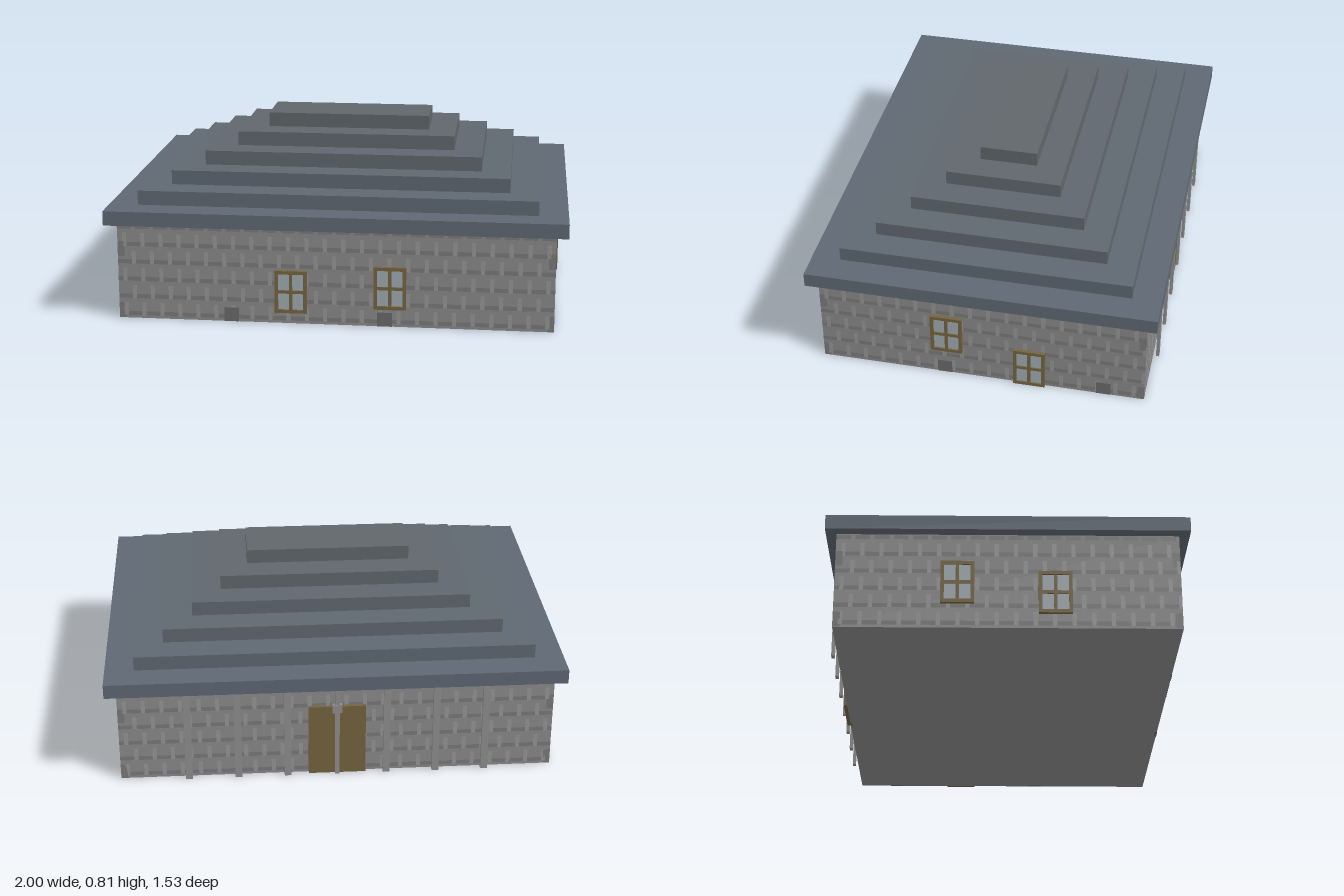
import * as THREE from 'three';
import { mergeGeometries } from 'three/addons/utils/BufferGeometryUtils.js';

const mat = (color) => new THREE.MeshStandardMaterial({ color });
const stone = mat(0x8b8b8b), mortarDark = mat(0x7b7b7b), mortarLight = mat(0x979797);
const block = mat(0x6b6b6b), wood = mat(0x75643f), glass = mat(0xa0acb2), post = mat(0x8f8f8f);

const HX = 0.95, HZ = 0.718, WALL = 0.43;

// Box given by its minimum and maximum corners
function boxGeo(x0, x1, y0, y1, z0, z1) {
  return new THREE.BoxGeometry(x1 - x0, y1 - y0, z1 - z0)
    .translate((x0 + x1) / 2, (y0 + y1) / 2, (z0 + z1) / 2);
}

function add(parent, name, geometry, material) {
  const mesh = new THREE.Mesh(geometry, material);
  mesh.name = name;
  parent.add(mesh);
  return mesh;
}

// Four-pane window standing on the wall plane z = d
function addWindow(side, u, y, d) {
  const w = 0.07, h = 0.19, t = 0.015, m = 0.007, front = d + 0.015;
  const g = new THREE.Group();
  g.name = 'window';
  add(g, 'windowFrame', mergeGeometries([
    boxGeo(u - w, u - w + t, y, y + h, d - 0.01, front),
    boxGeo(u + w - t, u + w, y, y + h, d - 0.01, front),
    boxGeo(u - w + t, u + w - t, y, y + t, d - 0.01, front),
    boxGeo(u - w + t, u + w - t, y + h - t, y + h, d - 0.01, front),
    boxGeo(u - m, u + m, y + t, y + h - t, d - 0.01, front - 0.002),
    boxGeo(u - w + t, u + w - t, y + h / 2 - m, y + h / 2 + m, d - 0.01, front - 0.002),
  ]), wood);
  add(g, 'windowGlass', boxGeo(u - w + t, u + w - t, y + t, y + h - t, d - 0.01, d + 0.008), glass);
  side.add(g);
}

// Flat masonry pattern: broken bed joints and staggered upright joints
function addMasonry(side, half, d) {
  const beds = [], uprights = [], quoins = [];
  const plate = (list, u0, u1, y0, y1) => {
    const a = Math.max(u0, -half), b = Math.min(u1, half);
    if (b - a > 0.004) {
      list.push(new THREE.PlaneGeometry(b - a, y1 - y0).translate((a + b) / 2, (y0 + y1) / 2, d + 0.001));
    }
  };
  for (let row = 0; row < 6; row++) {
    const y = 0.012 + row * 0.079;
    const shift = (row % 2) * 0.04;
    for (let u = -half - 0.04 + shift; u < half; u += 0.08) {
      plate(beds, u, u + 0.062, y, y + 0.019);
      if (row < 5) plate(uprights, u + 0.062, u + 0.08, y, y + 0.06);
    }
  }
  for (const s of [-1, 1]) {
    const e = s * half, i = s * (half - 0.03);
    for (const y of [0.0, 0.28]) plate(quoins, Math.min(e, i), Math.max(e, i), y + 0.001, y + 0.07);
  }
  add(side, 'bedJoints', mergeGeometries(beds), mortarDark);
  add(side, 'uprightJoints', mergeGeometries(uprights), mortarLight);
  add(side, 'cornerStones', mergeGeometries(quoins), mortarDark);
}

export function createModel() {
  const model = new THREE.Group();
  model.name = 'house';

  add(model, 'walls', boxGeo(-HX, HX, 0, WALL, -HZ, HZ), stone);

  // Stepped roof
  const roofX = [1, 0.873, 0.747, 0.618, 0.49, 0.367];
  const roofZ = [0.763, 0.637, 0.508, 0.383, 0.255, 0.127];
  const step = 0.0635;
  roofX.forEach((x, i) => {
    const y = WALL + i * step;
    const color = new THREE.Color(0x5f6873).lerp(new THREE.Color(0x60666a), i / 5);
    add(model, 'roofStep', boxGeo(-x, x, y, y + step, -roofZ[i], roofZ[i]), mat(color));
  });

  // Each side is built facing +z and turned into place: windows [u, sill], ground blocks [u]
  const sides = [
    { name: 'frontSide', turn: 0, half: HX, d: HZ, windows: [[-0.188, 0.05], [0.243, 0.08]], blocks: [-0.45, 0.22] },
    { name: 'leftSide', turn: Math.PI / 2, half: HZ, d: HX, windows: [[-0.153, 0.13], [0.213, 0]], blocks: [-0.165, 0.54] },
    { name: 'rightSide', turn: -Math.PI / 2, half: HZ, d: HX, windows: [[-0.21, 0.11], [0.196, 0.065]], blocks: [] },
    { name: 'backSide', turn: Math.PI, half: HX, d: HZ, windows: [], blocks: [] },
  ];
  for (const s of sides) {
    const side = new THREE.Group();
    side.name = s.name;
    side.rotation.y = s.turn;
    addMasonry(side, s.half, s.d);
    for (const [u, y] of s.windows) addWindow(side, u, y, s.d);
    for (const u of s.blocks) add(side, 'groundBlock', boxGeo(u - 0.032, u + 0.032, 0, 0.063, s.d - 0.01, s.d + 0.002), block);

    if (s.name === 'backSide') {
      // Double door, slim posts standing just clear of the wall, and a door bracket
      for (const k of [-1, 1]) {
        add(side, 'doorLeaf', boxGeo(Math.min(0, k * 0.125), Math.max(0, k * 0.125), 0, 0.335, HZ - 0.01, HZ + 0.015), wood);
      }
      for (let i = -3; i <= 3; i++) {
        const u = i * 0.217, w = i === 0 ? 0.01 : 0.015;
        add(side, 'post', boxGeo(u - w, u + w, 0, WALL, 0.731, 0.745), post);
      }
      add(side, 'doorBracket', boxGeo(-0.022, 0.022, 0.31, 0.35, 0.73, 0.747), post);
    }
    model.add(side);
  }
  return model;
}
